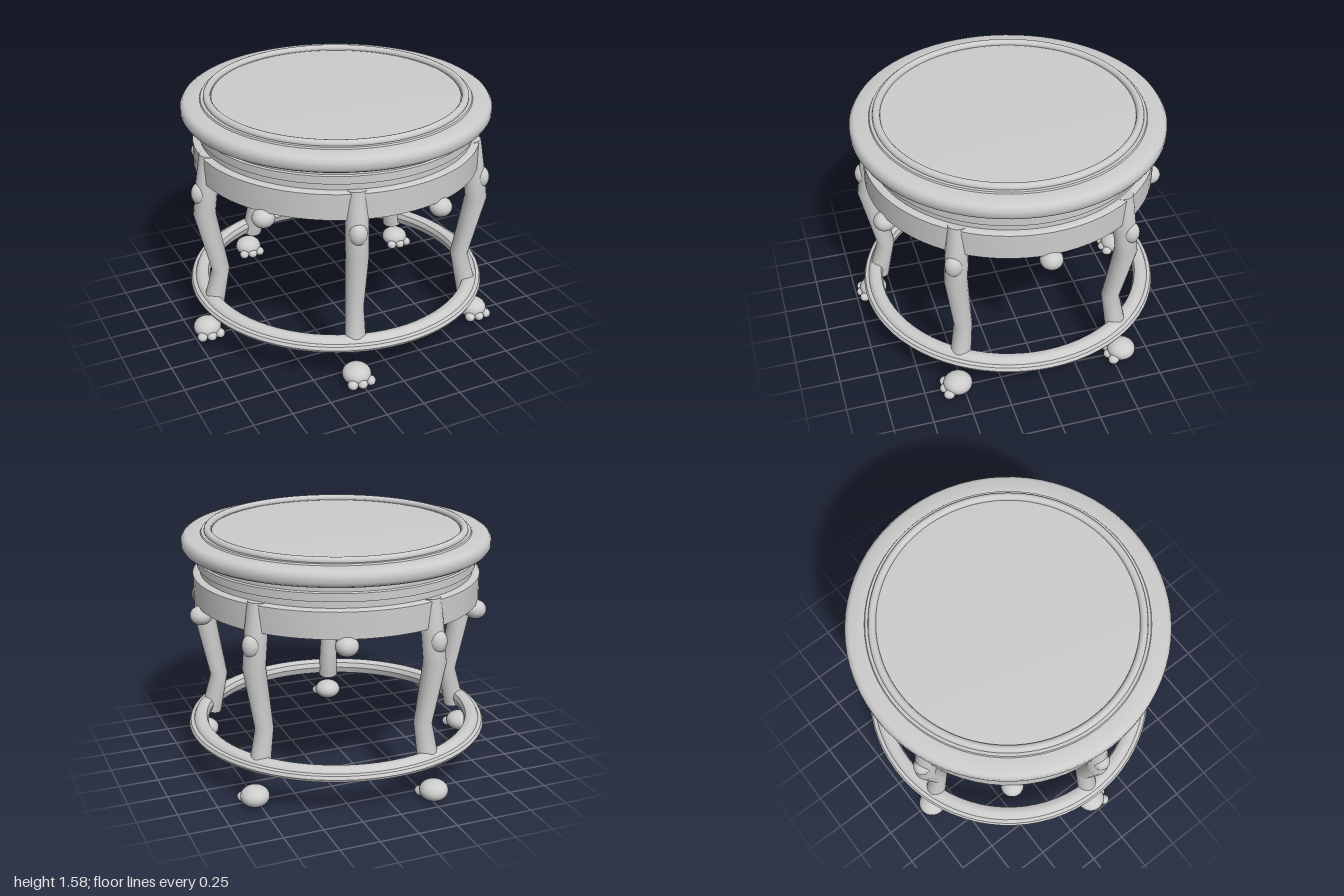
import * as THREE from 'three';
import { toCreasedNormals } from 'three/addons/utils/BufferGeometryUtils.js';

const CX = 0.022, CZ = -0.01; // axis of the round stool

export function createModel() {
  const root = new THREE.Group();
  root.name = 'roundStool';
  const stone = new THREE.MeshStandardMaterial({ color: 0xcccccc });
  stone.name = 'pale grey';

  function add(parent, name, geometry, x = 0, y = 0, z = 0) {
    const m = new THREE.Mesh(geometry, stone);
    m.name = name;
    m.position.set(x, y, z);
    parent.add(m);
    return m;
  }
  // Turned part; profile runs up the outside
  function turned(name, pts) {
    const g = new THREE.LatheGeometry(pts.map(p => new THREE.Vector2(p[0], p[1])), 72);
    return add(body, name, toCreasedNormals(g, 0.6));
  }
  function ellipsoid(parent, name, r, p) {
    const g = new THREE.SphereGeometry(1, 24, 16).scale(...r);
    return add(parent, name, g, ...p);
  }
  // Tapered bent limb lying in the radial plane: [radius from axis, height, thickness]
  function limb(stations, sides = 16) {
    const pos = [], idx = [], n = stations.length;
    stations.forEach(([r, y, t], i) => {
      const a = stations[Math.max(0, i - 1)], b = stations[Math.min(n - 1, i + 1)];
      const d = new THREE.Vector2(b[0] - a[0], b[1] - a[1]).normalize();
      for (let k = 0; k < sides; k++) {
        const w = k / sides * Math.PI * 2, c = Math.cos(w) * t;
        pos.push(r + c * d.y, y - c * d.x, -Math.sin(w) * t);
      }
    });
    for (let i = 0; i < n - 1; i++) for (let k = 0; k < sides; k++) {
      const a = i * sides + k, b = i * sides + (k + 1) % sides;
      idx.push(a, b, b + sides, a, b + sides, a + sides);
    }
    // End caps
    for (let k = 1; k < sides - 1; k++) {
      const e = (n - 1) * sides;
      idx.push(0, k + 1, k, e, e + k, e + k + 1);
    }
    const g = new THREE.BufferGeometry();
    g.setAttribute('position', new THREE.Float32BufferAttribute(pos, 3));
    g.setIndex(idx);
    return toCreasedNormals(g, 0.7);
  }

  const body = new THREE.Group();
  body.name = 'turnedParts';
  body.position.set(CX, 0, CZ);
  root.add(body);

  // Seat, waist and apron
  turned('seatRim', [[0, 1.44], [0.945, 1.438], [0.965, 1.45], [0.976, 1.47], [0.976, 1.508],
    [0.962, 1.53], [0.945, 1.54], [0.855, 1.54], [0.85, 1.55], [0.78, 1.55]]);
  turned('seatPanel', [[0.8, 1.545], [0.6, 1.553], [0.3, 1.559], [0, 1.561]]);
  const bead = new THREE.TorusGeometry(0.808, 0.024, 12, 96).rotateX(Math.PI / 2);
  add(body, 'seatBead', bead, 0, 1.556, 0);
  turned('waist', [[0, 1.285], [0.866, 1.285], [0.866, 1.33], [0.882, 1.335], [0.882, 1.385],
    [0.872, 1.392], [0.872, 1.44]]);
  turned('apron', [[0.885, 1.12], [0.912, 1.12], [0.912, 1.285], [0.9, 1.293], [0.86, 1.293],
    [0.86, 1.285], [0.885, 1.285], [0.885, 1.12]]);

  // Foot ring with a raised inner bead
  turned('footRing', [[0.865, 0.225], [0.93, 0.225], [0.945, 0.238], [0.966, 0.243], [0.976, 0.262],
    [0.966, 0.282], [0.943, 0.287], [0.935, 0.303], [0.915, 0.315], [0.88, 0.315], [0.86, 0.303],
    [0.85, 0.27], [0.865, 0.225]]);

  // Five legs, with a knob, a paw foot and a hanging ball for each
  const legShape = limb([[0.885, 0.215, 0.068], [0.823, 0.48, 0.058], [0.91, 0.9, 0.071],
    [0.88, 1.12, 0.07], [0.862, 1.293, 0.06]]);
  for (let i = 0; i < 5; i++) {
    const a = (36 + 72 * i) * Math.PI / 180, c = Math.cos(a), s = Math.sin(a);
    const leg = add(body, 'leg' + (i + 1), legShape);
    leg.rotation.y = -a;
    ellipsoid(leg, 'legKnob', [0.055, 0.073, 0.055], [0.933, 1.038, 0]);

    const b = a - Math.PI / 5;
    ellipsoid(body, 'apronBall' + (i + 1), [0.07, 0.06, 0.07],
      [0.9 * Math.cos(b), 1.075, 0.9 * Math.sin(b)]);

    // Paws all face the front
    const paw = new THREE.Group();
    paw.name = 'paw' + (i + 1);
    paw.position.set(0.935 * c, 0, 0.935 * s);
    body.add(paw);
    ellipsoid(paw, 'pawPad', [0.09, 0.066, 0.092], [0, 0.067, 0]);
    for (const x of [-0.06, 0, 0.06])
      ellipsoid(paw, 'toe', [0.032, 0.03, 0.036], [x, 0.04, x ? 0.07 : 0.082]);
  }
  return root;
}
